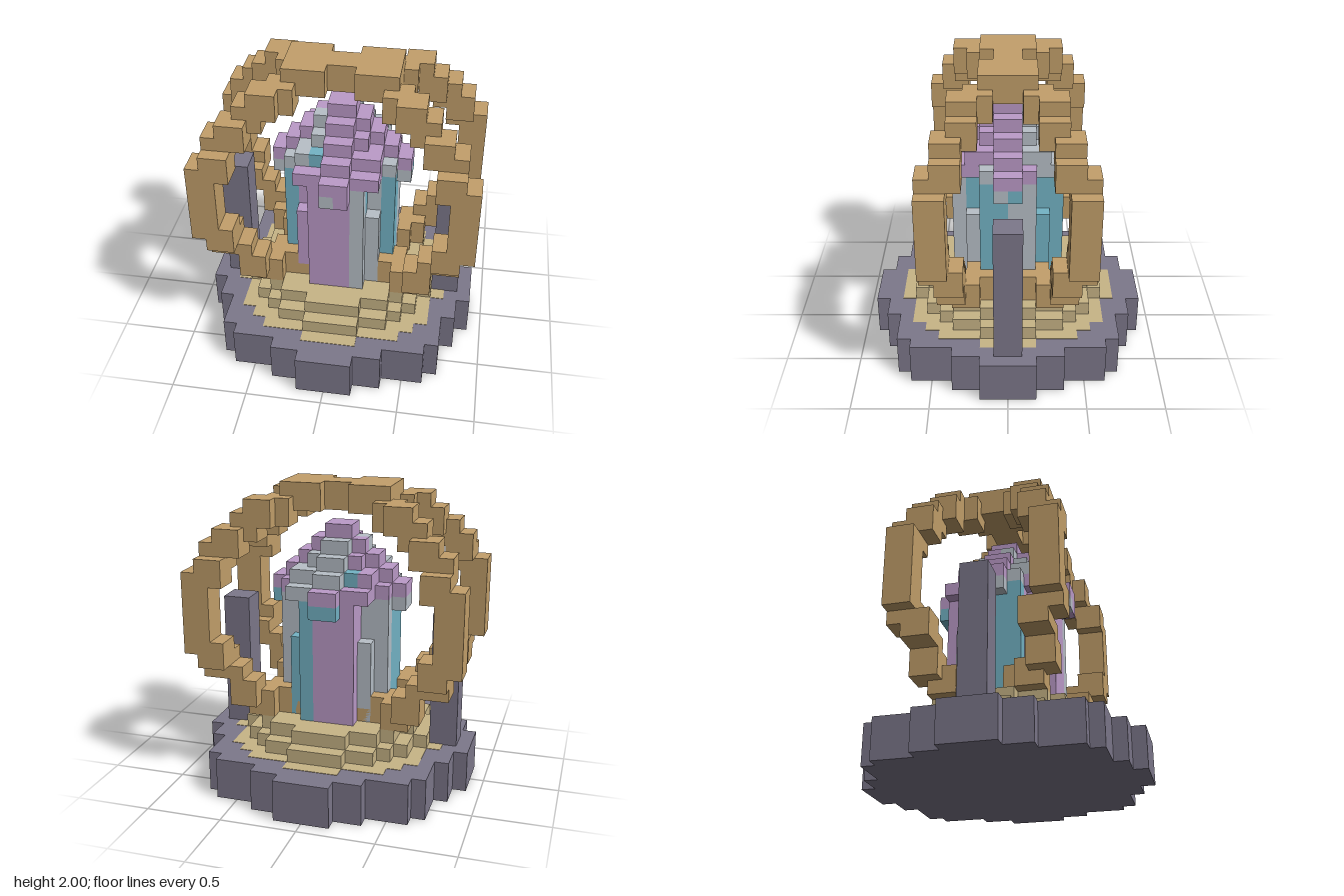
import * as THREE from 'three';
import { mergeGeometries } from 'three/addons/utils/BufferGeometryUtils.js';

const U = 1 / 11; // edge of one block

const mat = (name, color) => {
  const m = new THREE.MeshStandardMaterial({ color });
  m.name = name;
  return m;
};

// box from block coordinates
function box(x0, x1, y0, y1, z0, z1) {
  return new THREE.BoxGeometry((x1 - x0) * U, (y1 - y0) * U, (z1 - z0) * U)
    .translate((x0 + x1) / 2 * U, (y0 + y1) / 2 * U, (z0 + z1) / 2 * U);
}

// stepped disc: widths[i] is the half width where |z| lies between i and i + 1
function steppedDisc(widths, y0, y1) {
  const quarter = [];
  widths.forEach((w, i) => quarter.push([w, i], [w, i + 1]));
  const back = [...quarter].reverse();
  const pts = [
    ...quarter,
    ...back.map(([x, z]) => [-x, z]),
    ...quarter.map(([x, z]) => [-x, -z]),
    ...back.map(([x, z]) => [x, -z]),
  ].filter((p, i, a) => {
    const q = a[(i + 1) % a.length];
    return p[0] !== q[0] || p[1] !== q[1];
  });
  const shape = new THREE.Shape(pts.map(([x, z]) => new THREE.Vector2(x * U, z * U)));
  return new THREE.ExtrudeGeometry(shape, { depth: (y1 - y0) * U, bevelEnabled: false })
    .rotateX(-Math.PI / 2).translate(0, y0 * U, 0);
}

// one quarter of the crossed hoops: [x centre, z centre, bottom, top], two blocks thick
const HOOP = [
  [0, 0, 20, 22], [1, 0, 20, 22], [2, 1, 20, 22], [3, 1, 20, 22],
  [4, 2, 19, 21], [5, 3, 19, 21], [6, 3, 18, 20], [7, 4, 17, 19],
  [8, 4, 16, 18], [8, 5, 15, 17], [9, 5, 10, 16], [8, 5, 9, 11],
  [8, 4, 8, 10], [7, 4, 8, 9], [6, 4, 6, 8], [5, 3, 5, 7],
  [4, 2, 5, 7], [3, 2, 4, 6], [2, 1, 4, 6], [1, 0, 4, 6],
];

// crystal plan, back row first; P purple, G grey, C cyan
const PLAN = [
  '..PPPC..',
  '.GPPPCC.',
  'GGPPPCGG',
  'CGPPPPGG',
  'CPPPPPGC',
  'CPPPPPGC',
  '.PPPPCG.',
  '..PPPG..',
];

// crystal cap layers from y = 14 upwards, as stepped discs
const CAP = [[4, 4, 3, 3], [4, 3, 3, 1], [3, 2, 1], [2, 1], [1]];

// coloured patches on the cap: x0, x1, y0, y1, z0, z1, colour
const PATCHES = [
  [-3, -2, 15, 16, 0, 4, 'G'], [-2, -1, 15, 16, 1, 4, 'C'],
  [-2, -1, 16, 18, 0, 3, 'G'], [3, 4, 14, 15, 0, 2, 'G'],
  [-4, -3, 14, 15, 0, 2, 'G'], [-1, 3, 14, 19, -4, -1, 'G'],
  [-2, -1, 15, 16, -3, -2, 'C'],
  [-5, -4, 13, 14, -1, 1, 'G'], [4, 5, 13, 14, 0, 1, 'G'],
  [4, 5, 13, 14, -1, 0, 'C'], [-1, 0, 13, 14, 4, 5, 'G'],
  [-1, 1, 13, 14, -5, -4, 'C'],
];

function crystalBlocks() {
  const cells = new Map();
  const put = (x, y, z, c) => cells.set(`${x},${y},${z}`, c);
  // faceted body with lower corner columns
  PLAN.forEach((row, r) => [...row].forEach((c, k) => {
    if (c === '.') return;
    const x = k - 4, z = r - 4;
    const corner = Math.abs(x + 0.5) > 2 && Math.abs(z + 0.5) > 2;
    for (let y = 4; y < (corner ? 11 : 14); y++) put(x, y, z, c);
  }));
  // stepped cap
  CAP.forEach((widths, i) => widths.forEach((w, d) => {
    for (let x = -w; x < w; x++) {
      put(x, 14 + i, d, 'P');
      put(x, 14 + i, -d - 1, 'P');
    }
  }));
  // four side knobs
  for (const s of [-1, 0]) for (const y of [13, 14]) for (const e of [4, -5]) {
    put(s, y, e, 'P');
    put(e, y, s, 'P');
  }
  for (const [x0, x1, y0, y1, z0, z1, c] of PATCHES)
    for (let x = x0; x < x1; x++)
      for (let y = y0; y < y1; y++)
        for (let z = z0; z < z1; z++)
          if (cells.has(`${x},${y},${z}`)) put(x, y, z, c);
  // join vertical runs of one colour into boxes
  const out = { P: [], G: [], C: [] };
  for (let x = -5; x < 5; x++) for (let z = -5; z < 5; z++) {
    let start = 0, cur;
    for (let y = 0; y <= 20; y++) {
      const c = cells.get(`${x},${y},${z}`);
      if (c === cur) continue;
      if (cur) out[cur].push(box(x, x + 1, start, y, z, z + 1));
      cur = c;
      start = y;
    }
  }
  return out;
}

export function createModel() {
  const stone = mat('slate stone', 0x7d788b);
  const sand = mat('sand', 0xc8b587);
  const gold = mat('gold', 0xc3a06b);
  const purple = mat('purple crystal', 0xbc9bc9);
  const grey = mat('pale grey crystal', 0xb8c0c8);
  const cyan = mat('cyan crystal', 0x74b4c6);

  const model = new THREE.Group();
  model.name = 'crystalShrine';
  const add = (name, geometry, material) => {
    const mesh = new THREE.Mesh(geometry, material);
    mesh.name = name;
    model.add(mesh);
  };

  // base, inlay and steps
  add('base', steppedDisc([10, 10, 9, 9, 8, 8, 8, 7, 4, 2], 0, 3), stone);
  add('baseInlay', steppedDisc([8, 8, 7, 7, 7, 6, 5, 2], 2.95, 3.03), sand);
  add('lowerStep', steppedDisc([7, 7, 6, 6, 5, 4, 2], 3, 4), sand);
  add('upperStep', steppedDisc([6, 6, 5, 5, 4, 2], 4, 5), sand);

  // side posts
  add('leftPost', box(7, 9, 3, 13, -1, 1), stone);
  add('rightPost', box(-9, -7, 3, 13, -1, 1), stone);

  // two crossed hoops, mirrored from one quarter
  const hoops = [];
  for (const sx of [1, -1]) for (const sz of [1, -1])
    for (const [x, z, y0, y1] of HOOP)
      hoops.push(box(sx * x - 1, sx * x + 1, y0, y1, sz * z - 1, sz * z + 1));
  add('crossedHoops', mergeGeometries(hoops), gold);

  // crystal
  const blocks = crystalBlocks();
  add('crystalPurple', mergeGeometries(blocks.P), purple);
  add('crystalGrey', mergeGeometries(blocks.G), grey);
  add('crystalCyan', mergeGeometries(blocks.C), cyan);
  return model;
}
